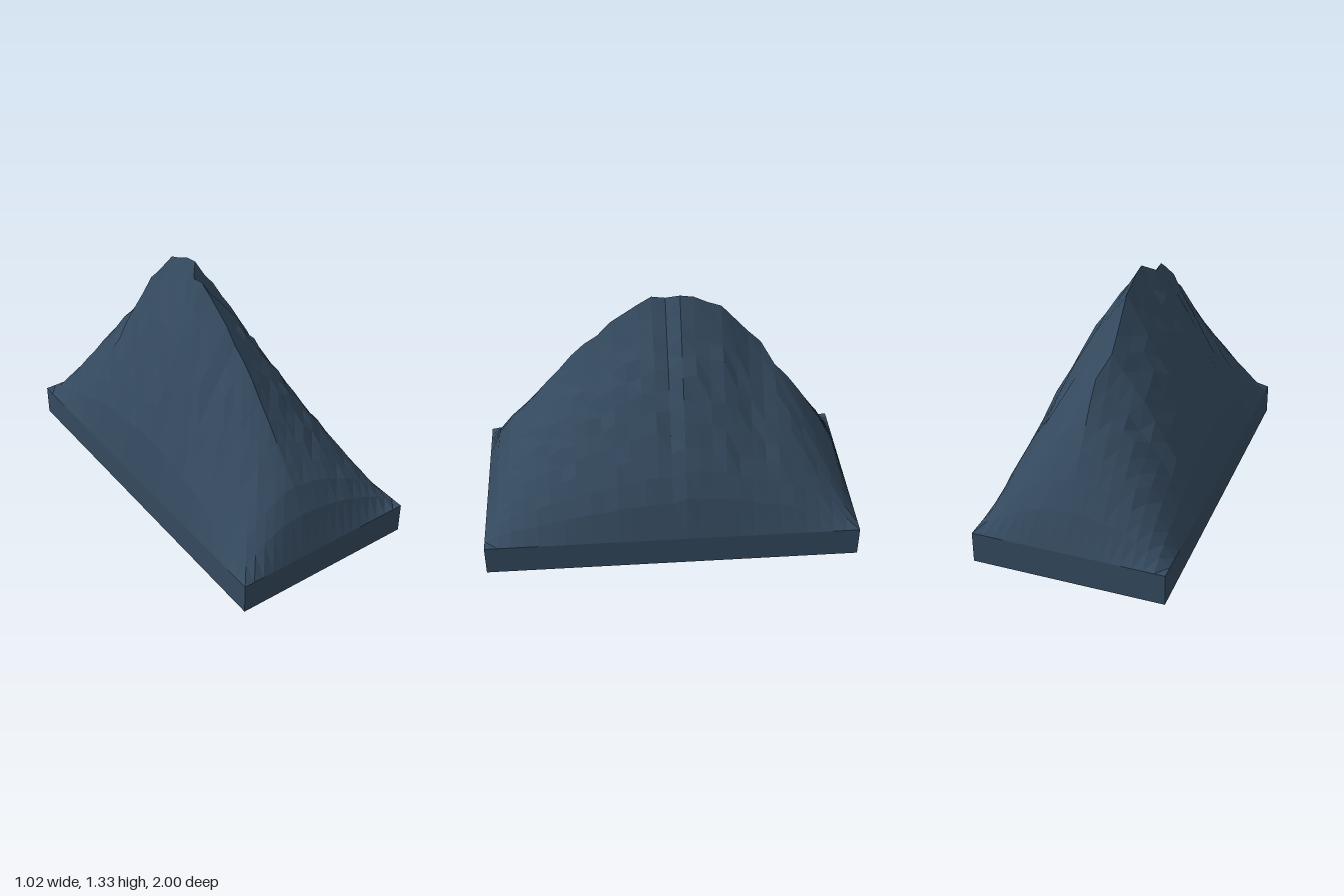
import * as THREE from 'three';

const W = 1.02, L = 2, BASE = 0.17, NX = 18, NZ = 28;

// Ridge heights from the front end (z = 1) to the back end (z = -1)
const RIDGE = [0.17, 0.38, 0.51, 0.6, 0.69, 0.78, 0.86, 0.95, 1.02, 1.07, 1.15, 1.2, 1.25, 1.295, 1.285,
  1.33, 1.32, 1.285, 1.26, 1.18, 1.1, 1.03, 0.92, 0.84, 0.74, 0.63, 0.51, 0.37, 0.17];
// Slope profile from the long edge (0) up to the ridge (1)
const SLOPE = [0, 0.2, 0.32, 0.42, 0.52, 0.61, 0.7, 0.78, 0.845, 0.92, 1];

function sample(list, t) {
  const f = THREE.MathUtils.clamp(t, 0, 1) * (list.length - 1);
  const i = Math.min(Math.floor(f), list.length - 2);
  return THREE.MathUtils.lerp(list[i], list[i + 1], f - i);
}

// The crest steps sideways along the length
function crestX(z) {
  const step = W / NX;
  if (z > -0.02) return -2 * step;
  return z > -0.52 ? -step : 0;
}

function heightAt(x, z) {
  const r = crestX(z);
  const u = THREE.MathUtils.clamp(x < r ? (x + W / 2) / (r + W / 2) : (W / 2 - x) / (W / 2 - r), 0, 1);
  // Sharp crest in the middle, rounder towards the two ends
  const round = 0.85 * THREE.MathUtils.smoothstep(Math.abs(z), 0.4, 0.95);
  const across = THREE.MathUtils.lerp(sample(SLOPE, u), 1 - (1 - u) ** 2, round);
  const along = sample(RIDGE, (1 - z) / 2) - BASE;
  // Slight rocky unevenness that fades out at the edges and crest
  const rough = 0.035 * u * (1 - u) * along * (Math.sin(x * 61 + z * 23) + Math.sin(z * 47 - x * 29));
  return BASE + along * across + rough;
}

export function createModel() {
  const group = new THREE.Group();
  const slate = new THREE.MeshStandardMaterial({ color: 0x34495e, flatShading: true });
  slate.name = 'slate blue';

  // Rectangular plinth
  const plinth = new THREE.Mesh(new THREE.BoxGeometry(W, BASE, L), slate);
  plinth.name = 'plinth';
  plinth.position.y = BASE / 2;
  group.add(plinth);

  // Mountain surface
  const geo = new THREE.PlaneGeometry(W, L, NX, NZ).rotateX(-Math.PI / 2);
  const p = geo.attributes.position;
  for (let i = 0; i < p.count; i++) p.setY(i, heightAt(p.getX(i), p.getZ(i)));
  geo.computeVertexNormals();
  const mountain = new THREE.Mesh(geo, slate);
  mountain.name = 'mountain';
  group.add(mountain);

  return group;
}
